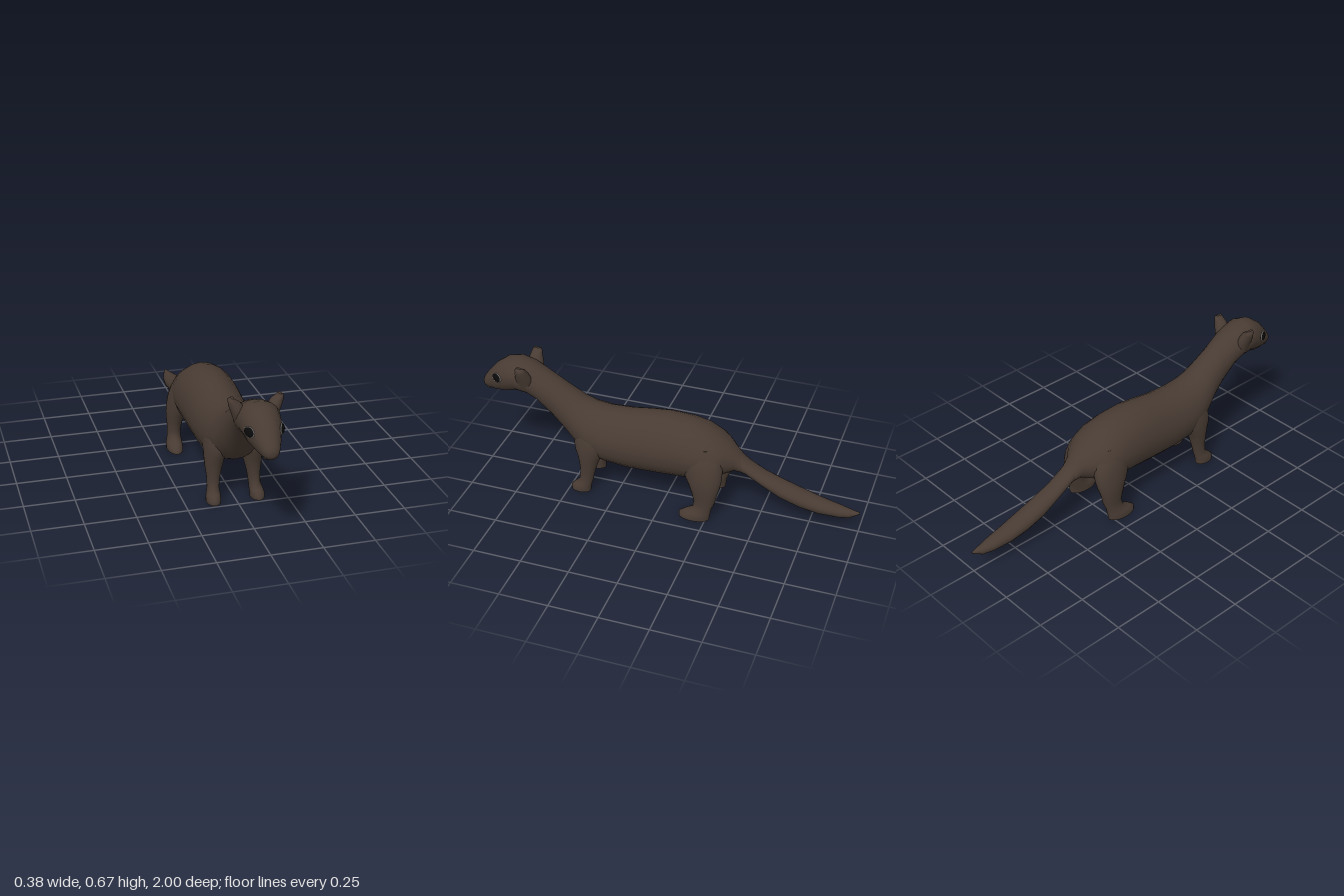
import * as THREE from 'three';

const SIDES = 20;
const paint = (color) => new THREE.MeshStandardMaterial({ color });
const fur = paint(0x483b33), black = paint(0x0a0a0a);
const rimGrey = paint(0xb0aca8), lipTone = paint(0x5a4a40);

// Skin over a list of rings (each a list of [x, y, z]), closed by flat end caps.
function loft(name, rings) {
  const n = rings[0].length, pos = rings.flat(2), index = [];
  for (let i = 0; i < rings.length - 1; i++) {
    for (let j = 0; j < n; j++) {
      const a = i * n + j, b = i * n + (j + 1) % n;
      index.push(a, b, a + n, b, b + n, a + n);
    }
  }
  for (const [ring, last] of [[rings[0], false], [rings[rings.length - 1], true]]) {
    const start = pos.length / 3;
    pos.push(...ring.flat());
    for (let j = 1; j < n - 1; j++) {
      if (last) index.push(start, start + j, start + j + 1);
      else index.push(start, start + j + 1, start + j);
    }
  }
  const geometry = new THREE.BufferGeometry();
  geometry.setAttribute('position', new THREE.Float32BufferAttribute(pos, 3));
  geometry.setIndex(index);
  geometry.computeVertexNormals();
  const mesh = new THREE.Mesh(geometry, fur);
  mesh.name = name;
  return mesh;
}

const angles = Array.from({ length: SIDES }, (_, j) => (j / SIDES) * Math.PI * 2);

// Upright ring: z, top, bottom, half width, and how much wider it is below than above
const bodyRing = ([z, top, bottom, w, sag = 0]) => angles.map((a) => [
  w * Math.cos(a) * (1 - sag * Math.sin(a)),
  (top + bottom) / 2 + (top - bottom) / 2 * Math.sin(a),
  z,
]);

// Level ring: y, centre x, centre z, half width, half depth
const limbRing = (side) => ([y, x, z, rx, rz]) => angles.map((a) =>
  [side * x + rx * Math.cos(a), y, z - rz * Math.sin(a)]);

// Sections from tail tip to nose
const tail = [
  [-1, 0.116, 0.108, 0.005], [-0.95, 0.124, 0.078, 0.024], [-0.9, 0.134, 0.073, 0.037],
  [-0.8, 0.154, 0.075, 0.05], [-0.7, 0.183, 0.093, 0.056], [-0.6, 0.216, 0.126, 0.056],
  [-0.5, 0.253, 0.181, 0.051], [-0.42, 0.298, 0.23, 0.05], [-0.36, 0.35, 0.24, 0.05],
];
const trunk = [
  [-0.4, 0.312, 0.234, 0.05], [-0.36, 0.355, 0.238, 0.062], [-0.32, 0.39, 0.222, 0.1],
  [-0.27, 0.427, 0.2, 0.14, 0.08], [-0.2, 0.466, 0.178, 0.156, 0.12], [-0.12, 0.486, 0.17, 0.158, 0.12],
  [0, 0.495, 0.16, 0.154, 0.12], [0.1, 0.485, 0.155, 0.15, 0.12], [0.2, 0.47, 0.153, 0.146, 0.12],
  [0.32, 0.464, 0.165, 0.142, 0.12], [0.4, 0.474, 0.192, 0.134, 0.12], [0.46, 0.497, 0.222, 0.116, 0.08],
  [0.53, 0.54, 0.288, 0.096], [0.6, 0.583, 0.362, 0.087], [0.68, 0.625, 0.442, 0.09],
  [0.73, 0.645, 0.478, 0.099], [0.8, 0.665, 0.486, 0.099], [0.86, 0.655, 0.465, 0.087],
  [0.92, 0.612, 0.456, 0.065], [0.965, 0.56, 0.458, 0.047], [0.987, 0.532, 0.464, 0.035],
  [0.997, 0.515, 0.474, 0.022], [1, 0.502, 0.484, 0.01],
];

// Limb sections from the ground upwards
const foreLeg = [
  [0, 0.11, 0.438, 0.035, 0.052], [0.022, 0.11, 0.438, 0.036, 0.053],
  [0.042, 0.107, 0.425, 0.033, 0.045], [0.065, 0.104, 0.41, 0.029, 0.036],
  [0.12, 0.101, 0.402, 0.033, 0.04], [0.17, 0.098, 0.397, 0.042, 0.05],
  [0.205, 0.095, 0.394, 0.048, 0.06], [0.24, 0.092, 0.388, 0.052, 0.078],
  [0.28, 0.086, 0.38, 0.056, 0.094], [0.33, 0.076, 0.372, 0.058, 0.1],
  [0.39, 0.06, 0.37, 0.05, 0.08],
];
const hindLeg = [
  [0, 0.148, -0.188, 0.041, 0.08], [0.02, 0.148, -0.19, 0.042, 0.08],
  [0.038, 0.145, -0.207, 0.039, 0.066], [0.06, 0.141, -0.227, 0.034, 0.049],
  [0.1, 0.138, -0.238, 0.034, 0.054], [0.15, 0.135, -0.236, 0.042, 0.066],
  [0.19, 0.129, -0.233, 0.049, 0.08], [0.23, 0.12, -0.226, 0.055, 0.094],
  [0.28, 0.107, -0.216, 0.061, 0.104], [0.33, 0.092, -0.204, 0.063, 0.104],
  [0.39, 0.07, -0.19, 0.055, 0.084],
];
const ear = [
  [0.53, 0.072, 0.738, 0.02, 0.03], [0.57, 0.075, 0.74, 0.03, 0.042],
  [0.6, 0.08, 0.742, 0.035, 0.042], [0.63, 0.094, 0.744, 0.032, 0.034],
  [0.645, 0.1, 0.744, 0.028, 0.029], [0.66, 0.113, 0.744, 0.017, 0.025],
  [0.67, 0.11, 0.746, 0.007, 0.018],
];

// Flattened eyeball with a pale rim, turned to lie on the cheek
function makeEye(side) {
  const eye = new THREE.Group();
  eye.name = side > 0 ? 'leftEye' : 'rightEye';
  const ball = new THREE.Mesh(new THREE.SphereGeometry(1, 18, 12), black);
  ball.name = 'eyeball';
  ball.scale.set(0.03, 0.022, 0.011);
  const rim = new THREE.Mesh(new THREE.TorusGeometry(0.03, 0.003, 6, 24), rimGrey);
  rim.name = 'eyeRim';
  rim.scale.y = 0.78;
  eye.add(ball, rim);
  eye.position.set(side * 0.075, 0.564, 0.894);
  eye.rotation.set(-0.1, side * 1.1, 0, 'YXZ');
  return eye;
}

function blob(name, material, position, scale) {
  const mesh = new THREE.Mesh(new THREE.SphereGeometry(1, 14, 10), material);
  mesh.name = name;
  mesh.position.set(...position);
  mesh.scale.set(...scale);
  return mesh;
}

export function createModel() {
  const model = new THREE.Group();
  model.name = 'weasel';
  model.add(
    loft('tail', tail.map(bodyRing)),
    loft('bodyAndHead', trunk.map(bodyRing)),
    blob('nose', black, [0, 0.495, 0.988], [0.027, 0.01, 0.012]),
    blob('lowerLip', lipTone, [0, 0.469, 0.966], [0.034, 0.009, 0.02]),
  );
  for (const side of [1, -1]) {
    const hand = side > 0 ? 'left' : 'right';
    model.add(
      loft(hand + 'FrontLeg', foreLeg.map(limbRing(side))),
      loft(hand + 'HindLeg', hindLeg.map(limbRing(side))),
      loft(hand + 'Ear', ear.map(limbRing(side))),
      makeEye(side),
    );
  }
  return model;
}
